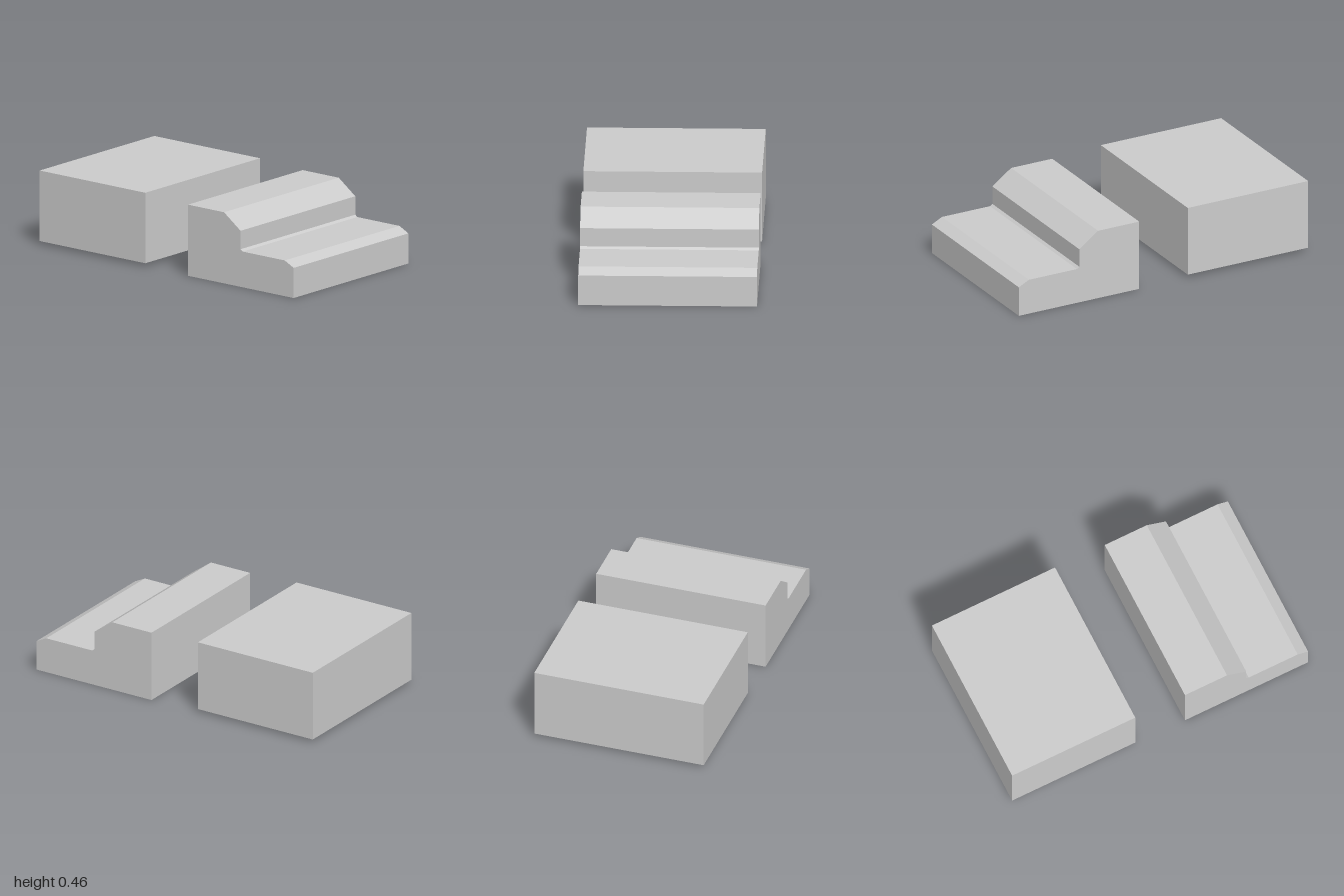
import * as THREE from 'three';

const WIDTH = 1.08;

export function createModel() {
  const group = new THREE.Group();
  const material = new THREE.MeshStandardMaterial({ color: 0xcccccc, flatShading: true });

  // Stepped block: side profile as (z, y), extruded across the width
  const profile = [
    [0.168, 0], [1, 0], [1, 0.188], [0.93, 0.223], [0.598, 0.223],
    [0.582, 0.235], [0.582, 0.35], [0.452, 0.444], [0.168, 0.444],
  ].map(([z, y]) => new THREE.Vector2(z, y));
  const stepGeometry = new THREE.ExtrudeGeometry(new THREE.Shape(profile), {
    depth: WIDTH, bevelEnabled: false,
  });
  stepGeometry.translate(0, 0, -WIDTH / 2).rotateY(-Math.PI / 2);
  const steppedBlock = new THREE.Mesh(stepGeometry, material);
  steppedBlock.name = 'steppedBlock';

  // Plain rear block, raised slightly above the ground
  const rearBlock = new THREE.Mesh(new THREE.BoxGeometry(WIDTH, 0.44, 0.832), material);
  rearBlock.name = 'rearBlock';
  rearBlock.position.set(0, 0.242, -0.584);

  group.add(steppedBlock, rearBlock);
  return group;
}
